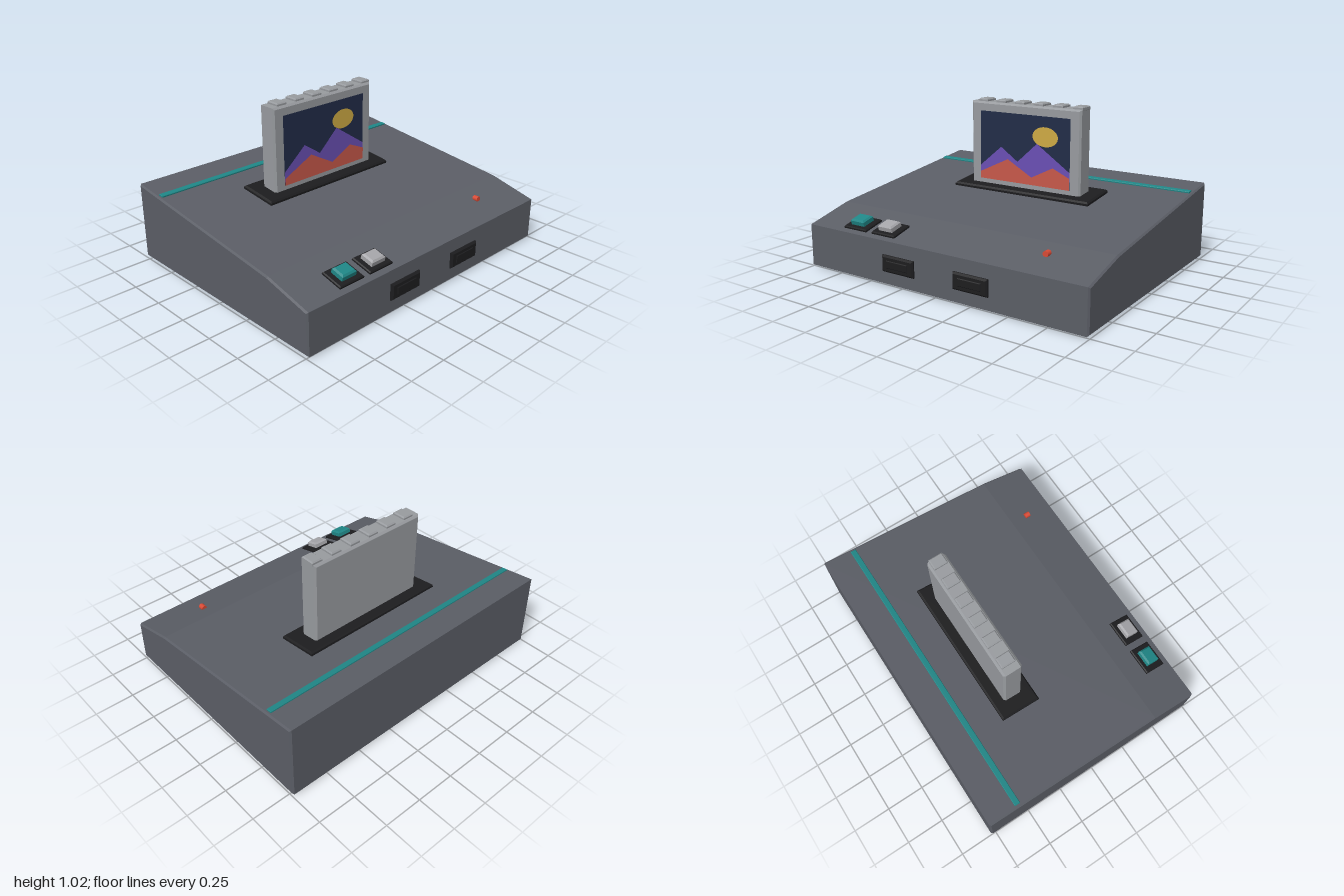
import * as THREE from 'three';

const mat = (name, color) => Object.assign(new THREE.MeshStandardMaterial({ color }), { name });

const polygon = (points) => new THREE.Shape(points.map(([x, y]) => new THREE.Vector2(x, y)));

// Extrusion centred on z, with chamfered rims that stay inside the outline
function chamfered(shape, depth, c) {
  const g = new THREE.ExtrudeGeometry(shape, {
    depth: depth - 2 * c, bevelEnabled: true, bevelSegments: 1,
    bevelSize: c, bevelThickness: c, bevelOffset: -c, curveSegments: 16,
  });
  return g.translate(0, 0, c - depth / 2);
}

// Box whose front and back rims are chamfered
function block(w, h, d, c) {
  return chamfered(polygon([[-w / 2, -h / 2], [w / 2, -h / 2], [w / 2, h / 2], [-w / 2, h / 2]]), d, c);
}

// Box whose top and bottom rims are chamfered
const slab = (w, h, d, c) => block(w, d, h, c).rotateX(-Math.PI / 2);

export function createModel() {
  const model = new THREE.Group();
  model.name = 'cartridgeConsole';

  const shell = mat('shellGrey', 0x5b5e66);
  const black = mat('black', 0x1d1d1f);
  const plastic = mat('cartridgeGrey', 0x989b9f);
  const pale = mat('buttonGrey', 0xa6a6aa);
  const teal = mat('teal', 0x1f8787);
  const navy = mat('nightBlue', 0x222c48);
  const purple = mat('purple', 0x6a4fb4);
  const orange = mat('coral', 0xc8584a);
  const yellow = mat('gold', 0xcfaa44);
  const red = mat('lampRed', 0xd84a35);

  const add = (name, geometry, material, x = 0, y = 0, z = 0, tilt = 0, parent = model) => {
    const mesh = new THREE.Mesh(geometry, material);
    mesh.name = name;
    mesh.position.set(x, y, z);
    mesh.rotation.x = tilt;
    parent.add(mesh);
    return mesh;
  };

  // Wedge shell, profile given as (z, y)
  const frontZ = 0.765, backZ = -0.78, kneeZ = 0.45;
  const frontY = 0.28, kneeY = 0.36, backY = 0.51;
  const profile = polygon([[backZ, 0.013], [frontZ, 0.013], [frontZ, frontY], [kneeZ, kneeY], [backZ, backY]]);
  add('shell', chamfered(profile, 2, 0.01).rotateY(-Math.PI / 2), shell);

  // Height and tilt of the two top slopes
  const deckTilt = Math.atan2(backY - kneeY, kneeZ - backZ);
  const lipTilt = Math.atan2(kneeY - frontY, frontZ - kneeZ);
  const deckY = (z) => kneeY + (kneeZ - z) * Math.tan(deckTilt);
  const lipY = (z) => frontY + (frontZ - z) * Math.tan(lipTilt);

  // Feet
  for (const x of [-0.9, 0.9]) for (const z of [0.667, -0.684]) {
    add('foot', new THREE.CylinderGeometry(0.06, 0.06, 0.02, 24), black, x, 0.01, z);
  }

  // Deck stripe and cartridge slot collar
  add('stripe', slab(1.96, 0.02, 0.037, 0.003), teal, 0, deckY(-0.576), -0.576, deckTilt);
  add('slotCollar', slab(1.02, 0.036, 0.268, 0.01), black, 0, deckY(-0.237) + 0.006, -0.237, deckTilt);

  // Cartridge with grip ridges
  const cartridge = new THREE.Group();
  cartridge.name = 'cartridge';
  cartridge.position.z = -0.235;
  model.add(cartridge);
  add('cartridgeCase', block(0.83, 0.59, 0.125, 0.012), plastic, 0, 0.71, 0, 0, cartridge);
  for (let i = 0; i < 6; i++) {
    add('gripRidge', slab(0.072, 0.03, 0.092, 0.007), plastic, -0.333 + i * 0.143, 1.008, 0, 0, cartridge);
  }

  // Picture label, layered from back to front
  const L = 0.342, low = 0.49;
  const layer = (name, shape, material, n) =>
    add(name, new THREE.ShapeGeometry(shape, 32), material, 0, 0, 0.0625 + n * 0.0015, 0, cartridge);
  layer('labelSky', polygon([[-L, low], [L, low], [L, 0.945], [-L, 0.945]]), navy, 1);
  layer('labelSun', new THREE.Shape().absellipse(0.16, 0.813, 0.094, 0.064, 0, Math.PI * 2), yellow, 2);
  layer('labelFarHills', polygon([[-L, low], [L, low], [L, 0.604], [0.1, 0.765],
    [-0.048, 0.631], [-0.176, 0.717], [-L, 0.578]]), purple, 3);
  layer('labelNearHills', polygon([[-L, low], [L, low], [L, 0.567], [0.22, 0.62],
    [0.06, 0.54], [-0.123, 0.64], [-L, 0.535]]), orange, 4);

  // Push buttons on black bases
  for (const [name, x, material] of [['powerButton', -0.643, teal], ['resetButton', -0.417, pale]]) {
    const button = new THREE.Group();
    button.name = name;
    button.position.set(x, lipY(0.655), 0.655);
    button.rotation.x = lipTilt;
    model.add(button);
    add('buttonBase', slab(0.18, 0.032, 0.146, 0.006), black, 0, 0, 0, 0, button);
    add('buttonCap', slab(0.105, 0.05, 0.088, 0.01), material, 0, 0.027, 0, 0, button);
  }

  // Indicator lamp
  add('lamp', new THREE.CylinderGeometry(0.018, 0.018, 0.036, 20), red, 0.636, 0.337, 0.575, Math.PI / 2);

  // Controller ports
  for (const x of [-0.263, 0.263]) {
    add('portFrame', block(0.24, 0.104, 0.036, 0.01), black, x, 0.144, frontZ);
    add('portSocket', block(0.16, 0.048, 0.03, 0.004), black, x, 0.144, frontZ + 0.007);
  }
  return model;
}
